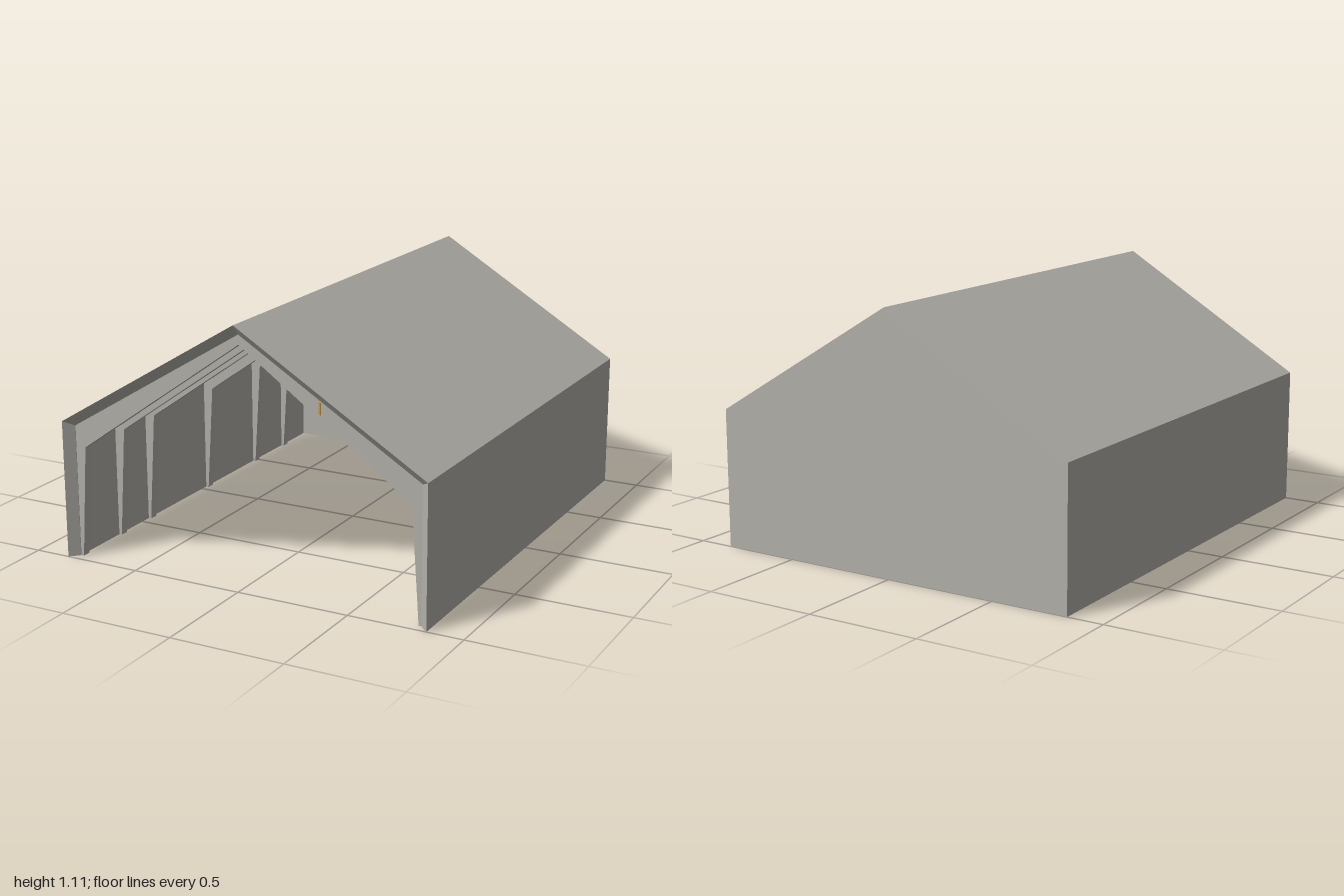
import * as THREE from 'three';

const grey = new THREE.MeshStandardMaterial({ color: 0xb3b1ab });
grey.name = 'warmGrey';
const amber = new THREE.MeshStandardMaterial({ color: 0xc8963c });
amber.name = 'amber';

// Gable outline, running from the +x foot over the ridge to the -x foot
const gable = (w, eave, ridge) => [[w, 0], [w, eave], [0, ridge], [-w, eave], [-w, 0]];
const OUTER = gable(0.842, 0.603, 1.112);
const INNER = gable(0.803, 0.58, 1.067);
const HAUNCH = gable(0.79, 0.49, 1.025);
HAUNCH[1][0] = 0.757;
HAUNCH[3][0] = -0.757;

function extrude(points, depth, z) {
  const shape = new THREE.Shape(points.map(([x, y]) => new THREE.Vector2(x, y)));
  const geo = new THREE.ExtrudeGeometry(shape, { depth, bevelEnabled: false });
  geo.translate(0, 0, z);
  return geo;
}

// Walls and roof as one hollow shell with a chamfered front opening
function shellGeometry() {
  const rows = [[OUTER, -0.98], [OUTER, 1], [INNER, 0.962], [INNER, -0.98]]
    .map(([outline, z]) => outline.map(([x, y]) => [x, y, z]));
  const pos = [];
  const quad = (a, b, c, d) => pos.push(...a, ...b, ...c, ...a, ...c, ...d);
  for (let r = 0; r < 3; r++) {
    for (let i = 0; i < 4; i++) {
      quad(rows[r][i], rows[r][i + 1], rows[r + 1][i + 1], rows[r + 1][i]);
    }
  }
  // Undersides of the two walls
  quad(rows[0][0], rows[1][0], rows[2][0], rows[3][0]);
  quad(rows[3][4], rows[2][4], rows[1][4], rows[0][4]);
  const geo = new THREE.BufferGeometry();
  geo.setAttribute('position', new THREE.Float32BufferAttribute(pos, 3));
  geo.computeVertexNormals();
  return geo;
}

export function createModel() {
  const model = new THREE.Group();
  model.name = 'openShed';
  const add = (name, geo, mat = grey) => {
    const mesh = new THREE.Mesh(geo, mat);
    mesh.name = name;
    model.add(mesh);
    return mesh;
  };

  add('wallsAndRoof', shellGeometry());
  add('backWall', extrude(OUTER, 0.02, -1));

  // Portal frames with tapered legs and rafters
  const frameOutline = [...INNER, ...[...HAUNCH].reverse()];
  [0.94, 0.66, 0.43, -0.055, -0.49, -0.77].forEach((z, i) => {
    add('portalFrame' + (i + 1), extrude(frameOutline, 0.04, z - 0.02));
  });

  // Thin amber plate on the rear face of the front frame
  const under = x => 1.025 - Math.abs(x) * 0.535 / 0.757;
  const roof = x => 1.067 - Math.abs(x) * 0.487 / 0.803;
  const plate = (x0, x1) => [[x0, under(x0)], [x1, under(x1)], [x1, roof(x1)], [x0, roof(x0)]];
  add('framePlate', extrude(plate(-0.6, -0.5), 0.004, 0.916), amber);

  // Narrow amber marker on the front frame
  add('frameMarker', extrude([[0.355, 0.79], [0.365, 0.79], [0.365, 0.84], [0.355, 0.84]], 0.002, 0.96), amber);

  // Small fitting under the roof
  const fitting = add('roofFitting', new THREE.BoxGeometry(0.03, 0.008, 0.03), amber);
  fitting.position.set(-0.64, roof(-0.64) - 0.002, 0.1);
  fitting.rotation.z = Math.atan2(0.487, 0.803);
  return model;
}
